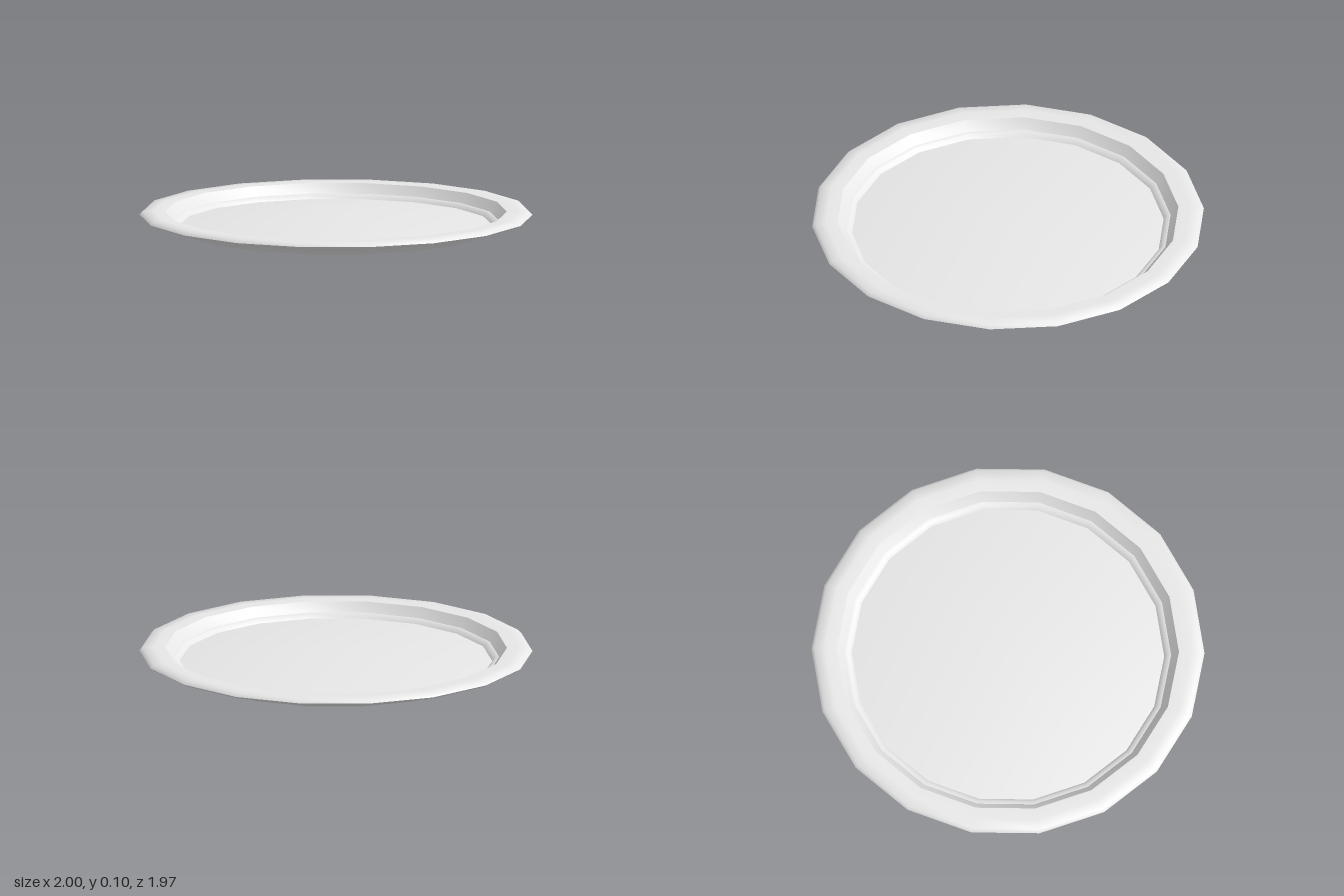
import * as THREE from 'three';
import { toCreasedNormals } from 'three/addons/utils/BufferGeometryUtils.js';

const SIDES = 18;

export function createModel() {
  const group = new THREE.Group();
  group.name = 'plate';
  const paleGrey = new THREE.MeshStandardMaterial({ color: 0xe7e7e7 });
  paleGrey.name = 'paleGrey';

  // Turn a profile of [radius, height] pairs, with a corner on the x axis
  const turn = (name, profile, crease) => {
    const points = profile.map(([r, y]) => new THREE.Vector2(r, y));
    const lathe = new THREE.LatheGeometry(points, SIDES, Math.PI / 2);
    const mesh = new THREE.Mesh(toCreasedNormals(lathe, crease), paleGrey);
    mesh.name = name;
    group.add(mesh);
  };

  // Underside: hollow base, foot, small step, flared wall and hollow below the rim, softly shaded
  turn('underside', [
    [0, 0.078], [0.8, 0], [0.81, 0.03], [0.825, 0.03], [0.862, 0.06],
    [0.877, 0.069], [0.92, 0.073], [0.96, 0.07], [0.985, 0.06],
  ], 3.1);

  // Rim: rolled outer lip and nearly flat top
  turn('rim', [
    [0.985, 0.06], [1, 0.071], [0.985, 0.087], [0.93, 0.09], [0.87, 0.088],
  ], 1.3);

  // Well: sloping inner wall, rounded ledge and floor rising gently to the middle
  turn('innerWall', [[0.87, 0.088], [0.83, 0.04]], 0.5);
  turn('ledge', [[0.83, 0.04], [0.812, 0.037], [0.795, 0.018]], 1.2);
  turn('floor', [[0.795, 0.018], [0, 0.096]], 0.5);

  return group;
}
